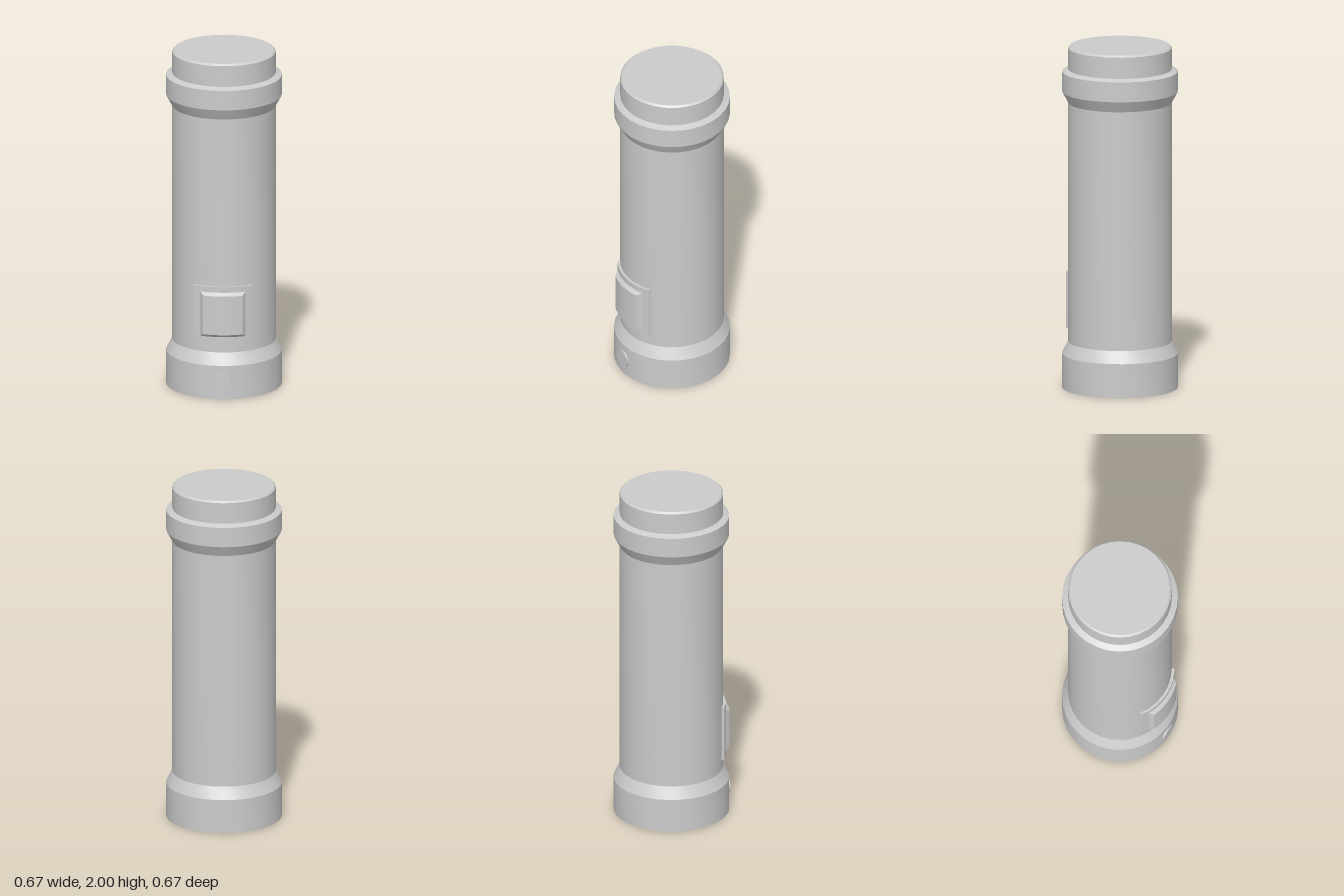
import * as THREE from 'three';
import { toCreasedNormals } from 'three/addons/utils/BufferGeometryUtils.js';

const CREASE = 0.35;
const AXIS_Z = -0.005; // the front button shifts the tube's axis slightly back

export function createModel() {
  const group = new THREE.Group();
  const material = new THREE.MeshStandardMaterial({ color: 0xcccccc });

  function add(name, geometry) {
    const mesh = new THREE.Mesh(toCreasedNormals(geometry, CREASE), material);
    mesh.name = name;
    mesh.position.z = AXIS_Z;
    group.add(mesh);
  }

  function turned(name, profile) {
    add(name, new THREE.LatheGeometry(profile.map(([r, y]) => new THREE.Vector2(r, y)), 32));
  }

  // Block wrapped round the tube, its front face shrunk by a bevel on all sides
  function wrappedPanel(name, width, height, y, backRadius, frontRadius, bevel) {
    const geometry = new THREE.BoxGeometry(width, height, 1, 10, 1, 1);
    const p = geometry.attributes.position;
    for (let i = 0; i < p.count; i++) {
      const front = p.getZ(i) > 0;
      const shrink = front ? bevel : 0;
      const x = p.getX(i) * (1 - 2 * shrink / width);
      const r = front ? frontRadius : backRadius;
      p.setXYZ(i, x, y + p.getY(i) * (1 - 2 * shrink / height), Math.sqrt(r * r - x * x));
    }
    add(name, geometry);
  }

  // Tube with a flared foot and a flared collar
  turned('body', [
    [0, 0], [0.333, 0], [0.333, 0.2], [0.298, 0.27],
    [0.298, 1.67], [0.333, 1.735], [0.333, 1.852], [0.298, 1.866], [0, 1.866],
  ]);

  // Chamfered end cap
  turned('cap', [[0, 1.85], [0.298, 1.85], [0.298, 1.99], [0.287, 2], [0, 2]]);

  // Switch on the front
  wrappedPanel('switchPlate', 0.334, 0.332, 0.501, 0.29, 0.313, 0);
  wrappedPanel('switchPad', 0.264, 0.27, 0.5, 0.311, 0.333, 0.019);

  // Round button in the foot
  const button = new THREE.CylinderGeometry(0.053, 0.053, 0.05, 24);
  button.rotateX(Math.PI / 2).translate(0, 0.103, 0.314);
  add('button', button);

  return group;
}
